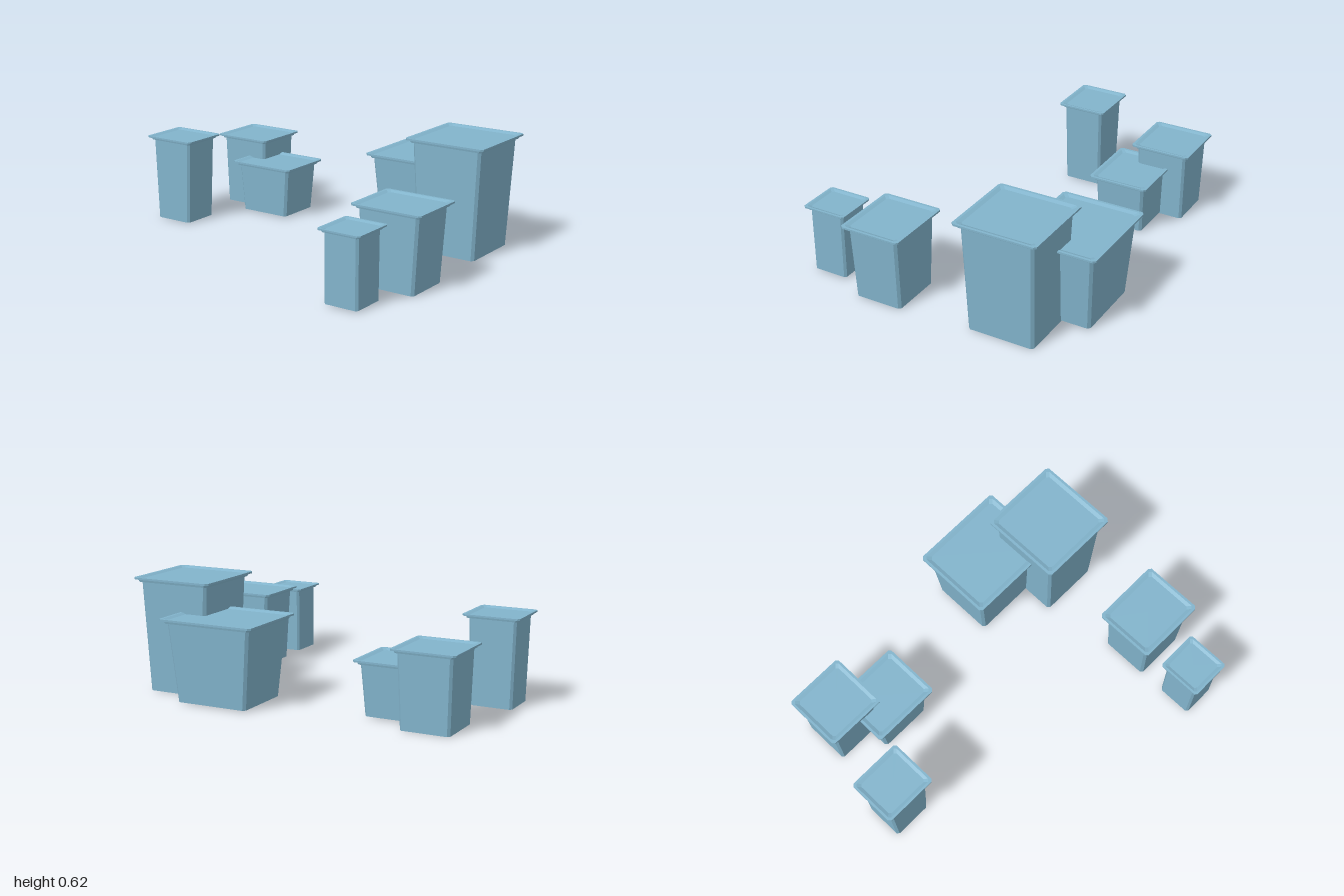
import * as THREE from 'three';

const blue = new THREE.MeshStandardMaterial({ color: 0x82b4cc });
blue.name = 'dusty blue';

// Rectangle outline with chamfered corners
function outline(hx, hz, y, c) {
  const ix = hx - c, iz = hz - c;
  return [[hx, -iz], [hx, iz], [ix, hz], [-ix, hz], [-hx, iz], [-hx, -iz], [-ix, -hz], [ix, -hz]]
    .map(([x, z]) => [x, y, z]);
}

// Skin a stack of outlines, from the bottom outwards and up, with optional flat caps
function loft(name, rings, capBottom, capTop) {
  const pos = [];
  const tri = (a, b, c) => pos.push(...a, ...b, ...c);
  const n = 8;
  for (let i = 0; i < n; i++) {
    const j = (i + 1) % n;
    for (let k = 0; k < rings.length - 1; k++) {
      const lo = rings[k], up = rings[k + 1];
      tri(lo[i], up[i], lo[j]);
      tri(up[i], up[j], lo[j]);
    }
    const first = rings[0], last = rings[rings.length - 1];
    if (capBottom) tri([0, first[0][1], 0], first[i], first[j]);
    if (capTop) tri([0, last[0][1], 0], last[j], last[i]);
  }
  const geo = new THREE.BufferGeometry();
  geo.setAttribute('position', new THREE.Float32BufferAttribute(pos, 3));
  geo.computeVertexNormals();
  const mesh = new THREE.Mesh(geo, blue);
  mesh.name = name;
  return mesh;
}

// One tapered container with a stepped, slightly dished lid
function container({ x: [x0, x1], z: [z0, z1], top, bottom, taper }) {
  const g = new THREE.Group();
  g.name = 'container';
  g.position.set((x0 + x1) / 2, 0, (z0 + z1) / 2);
  const hx = (x1 - x0) / 2, hz = (z1 - z0) / 2;
  const s = 0.6 + 0.4 * Math.min(1, (x1 - x0) / 0.46); // rim scales with size
  const ring = (inset, y) => outline(hx - inset, hz - inset, y, 0.014 * s);
  const neck = top - 0.024 * s;

  g.add(loft('body', [
    outline(hx - taper[0], hz - taper[1], bottom, 0.014 * s),
    ring(0.03 * s, neck),
  ], true, false));

  g.add(loft('lid', [
    ring(0.03 * s, neck),
    ring(0.018 * s, neck),
    ring(0.015 * s, top - 0.01 * s),
    ring(0, top - 0.01 * s),
    ring(0, top),
    ring(0.014 * s, top),
    ring(0.034 * s, top - 0.008 * s),
  ], false, true));
  return g;
}

export function createModel() {
  const model = new THREE.Group();
  model.name = 'containers';
  // Lid extents in x and z, heights, and base inset in x and z
  const specs = [
    { x: [0.16, 0.705], z: [-0.8, -0.34], top: 0.448, bottom: 0.007, taper: [0.07, 0.055] },
    { x: [0.515, 0.977], z: [-0.63, -0.168], top: 0.616, bottom: 0, taper: [0.06, 0.046] },
    { x: [0.6, 1], z: [0.13, 0.472], top: 0.425, bottom: 0.003, taper: [0.053, 0.036] },
    { x: [0.63, 0.872], z: [0.55, 0.8], top: 0.386, bottom: 0.008, taper: [0.025, 0.026] },
    { x: [-1, -0.69], z: [-0.13, 0.15], top: 0.483, bottom: 0.003, taper: [0.042, 0.032] },
    { x: [-0.905, -0.56], z: [-0.715, -0.377], top: 0.407, bottom: 0, taper: [0.04, 0.035] },
    { x: [-0.7, -0.3], z: [-0.59, -0.25], top: 0.297, bottom: 0.008, taper: [0.05, 0.038] },
  ];
  specs.forEach((spec) => model.add(container(spec)));
  return model;
}
